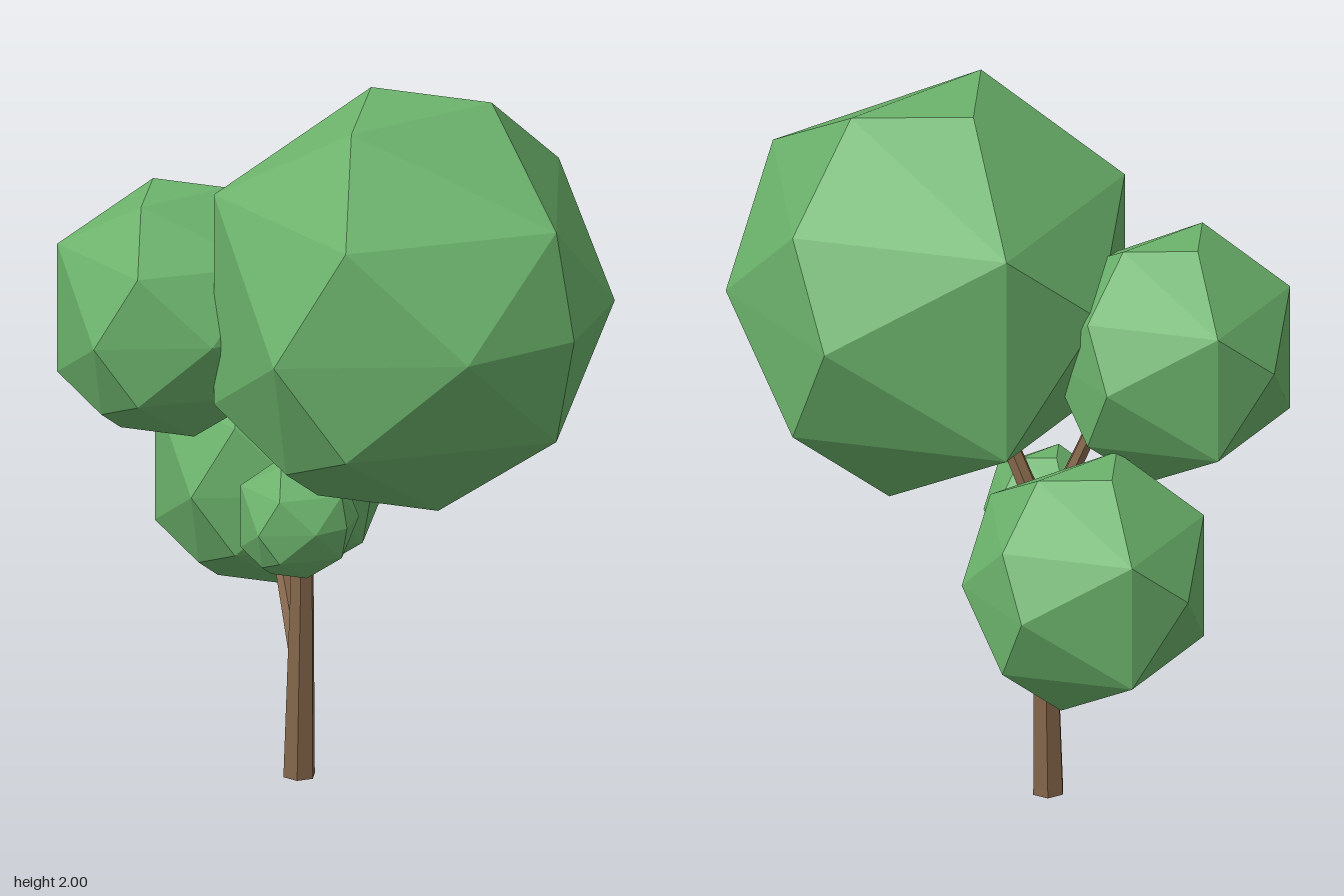
import * as THREE from 'three';
import { ConvexGeometry } from 'three/addons/geometries/ConvexGeometry.js';

export function createModel() {
  const tree = new THREE.Group();
  tree.name = 'tree';
  const leaf = new THREE.MeshStandardMaterial({ color: 0x6cb36c, flatShading: true });
  const bark = new THREE.MeshStandardMaterial({ color: 0x84664a, flatShading: true });

  // Faceted leaf ball, shared by every clump
  const points = [
    [0, 0, 0.57], [0.58, 0.03, 0], [-0.59, -0.03, 0], [0.06, 0.06, -0.55],
    [-0.24, 0.54, 0], [0.05, 0.56, -0.15], [0.19, 0.54, 0.15],
    [0.24, -0.54, 0], [-0.05, -0.56, 0.15], [-0.19, -0.54, -0.15],
    [-0.4, -0.41, -0.1],
  ].map((p) => new THREE.Vector3(...p));
  for (const s of [-1, 1]) {
    points.push(new THREE.Vector3(0, 0.3 * s, 0.51), new THREE.Vector3(0.33 * s, 0, 0.46));
    for (const t of [-1, 1]) {
      points.push(new THREE.Vector3(0.48 * s, 0.3 * t, 0.16), new THREE.Vector3(0.31 * s, 0.3 * t, -0.41));
    }
  }
  const ball = new ConvexGeometry(points);

  // Leaf clumps: name, centre, scale
  const clumps = [
    ['mainCrown', [0, 1.44, 0.21], 1],
    ['upperBackClump', [-0.17, 1.325, -0.44], 0.61],
    ['lowerBackClump', [0.22, 0.795, -0.405], 0.607],
    ['smallClump', [-0.11, 0.79, -0.07], 0.295],
  ];
  for (const [name, centre, size] of clumps) {
    const mesh = new THREE.Mesh(ball, leaf);
    mesh.name = name;
    mesh.position.set(...centre);
    mesh.scale.setScalar(size);
    tree.add(mesh);
  }

  // Six-sided tapered limb between two points
  const up = new THREE.Vector3(0, 1, 0);
  function limb(name, from, to, r0, r1) {
    const a = new THREE.Vector3(...from);
    const dir = new THREE.Vector3(...to).sub(a);
    const mesh = new THREE.Mesh(new THREE.CylinderGeometry(r1, r0, dir.length(), 6), bark);
    mesh.name = name;
    mesh.position.copy(a).addScaledVector(dir, 0.5);
    mesh.quaternion.setFromUnitVectors(up, dir.normalize());
    tree.add(mesh);
  }
  limb('trunk', [0, 0, -0.145], [0, 0.83, -0.13], 0.046, 0.028);
  limb('crownBranch', [0, 0.8, -0.13], [0, 1.15, 0.04], 0.029, 0.022);
  limb('upperBackBranch', [0, 0.78, -0.13], [-0.1, 1.2, -0.28], 0.025, 0.018);
  limb('lowerBackBranch', [0, 0.36, -0.15], [0.12, 0.62, -0.31], 0.028, 0.02);
  limb('smallBranch', [0, 0.62, -0.135], [-0.09, 0.78, -0.08], 0.018, 0.012);

  return tree;
}
